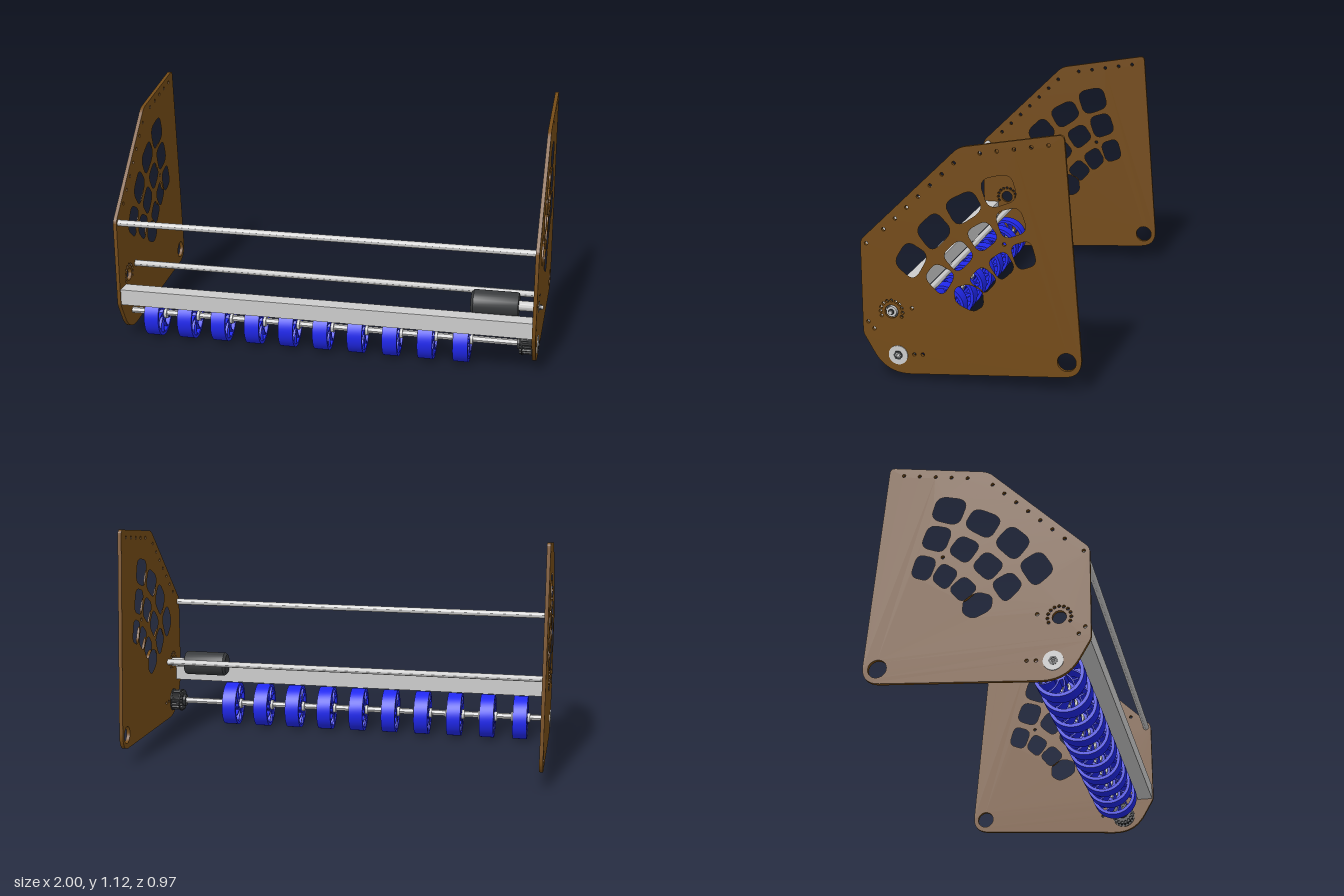
import * as THREE from 'three';
import { toCreasedNormals } from 'three/addons/utils/BufferGeometryUtils.js';

const paint = (color) => new THREE.MeshStandardMaterial({ color });
const BROWN = paint(0x734a16), BLUE = paint(0x2028ee), DARK = paint(0x383a3c), GREY = paint(0xcccccc);

const AXLE = [0.326, 0.111];   // z, y of the roller axle
const MOTOR = [0.353, 0.307];  // z, y of the motor shaft
const INNER_L = 0.963, INNER_R = -0.978, THICK = 0.017;

// Profiles are drawn in (z, y) and extruded along +x from x0.
function extrudeX(shape, x0, length, curveSegments = 12) {
  const g = new THREE.ExtrudeGeometry(shape, { depth: length, bevelEnabled: false, curveSegments });
  g.rotateY(Math.PI / 2);
  g.translate(x0, 0, 0);
  return toCreasedNormals(g, 0.6);
}

function circle(z, y, r, PathType = THREE.Path) {
  const p = new PathType();
  p.absarc(-z, y, r, 0, Math.PI * 2, false);
  return p;
}

// Closed outline whose corners are rounded; cut is a fraction of the edge or a length.
function rounded(points, cut, PathType = THREE.Path, grow = 1) {
  let v = points.map(([z, y]) => new THREE.Vector2(-z, y));
  const c = v.reduce((s, p) => s.add(p), new THREE.Vector2()).divideScalar(v.length);
  v = v.map((p) => p.clone().sub(c).multiplyScalar(grow).add(c));
  const path = new PathType();
  v.forEach((p, i) => {
    const toward = (q) => {
      const f = cut ?? points[i][2] / p.distanceTo(q);
      return p.clone().lerp(q, f);
    };
    const a = toward(v[(i + v.length - 1) % v.length]), b = toward(v[(i + 1) % v.length]);
    if (i === 0) path.moveTo(a.x, a.y); else path.lineTo(a.x, a.y);
    path.quadraticCurveTo(p.x, p.y, b.x, b.y);
  });
  path.closePath();
  return path;
}

function ring([z, y], R, r, x0, length, segments = 24) {
  const s = circle(z, y, R, THREE.Shape);
  if (r) s.holes.push(circle(z, y, r));
  return extrudeX(s, x0, length, segments);
}

function hexRing([z, y], R, r, x0, length) {
  const s = new THREE.Shape();
  for (let i = 0; i < 6; i++) {
    const a = i * Math.PI / 3;
    s[i ? 'lineTo' : 'moveTo'](-z + R * Math.cos(a), y + R * Math.sin(a));
  }
  s.closePath();
  if (r) s.holes.push(circle(z, y, r));
  return extrudeX(s, x0, length);
}

// Rounded windows of the side plates, corner by corner (z, y)
const WINDOWS = [
  [[-0.05, 0.914], [-0.173, 0.946], [-0.203, 0.845], [-0.087, 0.8]],
  [[0.105, 0.807], [-0.009, 0.869], [-0.054, 0.789], [0.051, 0.714]],
  [[0.233, 0.682], [0.149, 0.765], [0.078, 0.688], [0.164, 0.595]],
  [[0.332, 0.53], [0.275, 0.625], [0.185, 0.574], [0.248, 0.461]],
  [[-0.114, 0.777], [-0.212, 0.807], [-0.245, 0.711], [-0.149, 0.673]],
  [[0.012, 0.688], [-0.072, 0.741], [-0.123, 0.67], [-0.045, 0.604]],
  [[0.117, 0.58], [0.042, 0.652], [-0.018, 0.586], [0.054, 0.509]],
  [[0.197, 0.473], [0.149, 0.539], [0.066, 0.497], [0.123, 0.399]],
  [[-0.179, 0.637], [-0.26, 0.667], [-0.287, 0.571], [-0.212, 0.542]],
  [[-0.081, 0.565], [-0.152, 0.616], [-0.194, 0.545], [-0.134, 0.488]],
  [[0.003, 0.479], [-0.054, 0.542], [-0.117, 0.488], [-0.063, 0.423]],
  [[0.063, 0.434], [0.006, 0.455], [-0.05, 0.43], [-0.054, 0.37], [-0.012, 0.342], [0.06, 0.375]],
];

function plateShape() {
  // z, y, corner rounding
  const s = rounded([
    [0.486, 0.62, 0.02], [0.045, 1.05, 0.03], [-0.402, 1.127, 0.025], [-0.491, 0.083, 0.085],
    [0.38, 0.02, 0.11], [0.484, 0.2, 0.015],
  ], undefined, THREE.Shape);
  s.holes.push(...WINDOWS.map((w) => rounded(w, 0.36, THREE.Path, 1.1)));
  // screw holes along the sloped and top edges
  for (let i = 0; i < 7; i++) s.holes.push(circle(0.38 - i * 0.0525, 0.675 + i * 0.0512, 0.008));
  for (let i = 0; i < 5; i++) s.holes.push(circle(-0.048 - i * 0.0725, 1.03 + i * 0.0125, 0.008));
  [[0.46, 0.607], [0.26, 0.33], [0.46, 0.253], [0.433, 0.223], [0.254, 0.119], [0.215, 0.122], [-0.15, 0.646]]
    .forEach(([z, y]) => s.holes.push(circle(z, y, 0.008)));
  // pivot hole, axle hole, motor hole and its arc of mounting holes
  s.holes.push(circle(-0.421, 0.146, 0.041), circle(...AXLE, 0.016), circle(...MOTOR, 0.03));
  for (let i = 0; i < 11; i++) {
    const a = THREE.MathUtils.degToRad(-25 + i * 23);
    s.holes.push(circle(MOTOR[0] + 0.05 * Math.cos(a), MOTOR[1] + 0.05 * Math.sin(a), 0.007));
  }
  return s;
}

// Roller wheel: rim and hub joined by swept spokes
function wheelShape() {
  const s = circle(0, 0, 0.108, THREE.Shape), n = 10, step = Math.PI * 2 / n;
  for (let i = 0; i < n; i++) {
    const p = new THREE.Path(), a = i * step, pts = [];
    const at = (r, t, half) => {
      const ang = a + half + t * 0.45;
      pts.push(new THREE.Vector2(r * Math.cos(ang), r * Math.sin(ang)));
    };
    for (let k = 0; k <= 4; k++) {
      const r = 0.036 + 0.058 * k / 4;
      at(r, k / 4, -step / 2 + 0.0035 / r);
    }
    at(0.094, 1, 0);
    for (let k = 4; k >= 0; k--) {
      const r = 0.036 + 0.058 * k / 4;
      at(r, k / 4, step / 2 - 0.0035 / r);
    }
    p.setFromPoints(pts);
    s.holes.push(p);
  }
  s.holes.push(circle(0, 0, 0.015));
  return s;
}

// Toothed belt pulley
function pulleyShape() {
  const s = new THREE.Shape(), n = 18;
  for (let i = 0; i < n * 4; i++) {
    const a = i * Math.PI / (n * 2), r = i % 4 < 2 ? 0.052 : 0.045;
    s[i ? 'lineTo' : 'moveTo'](r * Math.cos(a), r * Math.sin(a));
  }
  s.closePath();
  s.holes.push(circle(0, 0, 0.014));
  return s;
}

export function createModel() {
  const model = new THREE.Group();
  const add = (name, geometry, material, parent = model) => {
    const m = new THREE.Mesh(geometry, material);
    m.name = name;
    parent.add(m);
    return m;
  };

  // Side plates
  const plate = plateShape();
  add('leftSidePlate', extrudeX(plate, INNER_L, THICK), BROWN);
  add('rightSidePlate', extrudeX(plate, INNER_R - THICK, THICK), BROWN);

  // Hollow cross rods and axle between the plates
  const span = INNER_L - INNER_R;
  add('upperRod', ring([0.46, 0.607], 0.015, 0.008, INNER_R, span), GREY);
  add('lowerRod', ring([0.26, 0.33], 0.015, 0.008, INNER_R, span), GREY);
  add('rollerAxle', hexRing(AXLE, 0.015, 0.007, -0.998, 1.985), GREY);

  // Square tube across the front
  const tube = new THREE.Shape();
  const box = (p, z0, z1, y0, y1) => p.moveTo(-z0, y0).lineTo(-z0, y1).lineTo(-z1, y1).lineTo(-z1, y0).closePath();
  box(tube, 0.402, 0.478, 0.2, 0.276);
  const bore = new THREE.Path();
  box(bore, 0.409, 0.471, 0.207, 0.269);
  tube.holes.push(bore);
  add('frontBeam', extrudeX(tube, INNER_R, span), GREY);

  // Washers and nuts at the axle ends
  [[INNER_L + THICK, 1], [INNER_R - THICK, -1]].forEach(([x, side]) => {
    add('axleWasher', ring(AXLE, 0.043, 0.014, side > 0 ? x : x - 0.004, 0.004), GREY);
    add('axleNut', hexRing(AXLE, 0.021, 0.011, side > 0 ? x + 0.004 : x - 0.005, 0.004), DARK);
  });

  // Row of roller wheels
  const wheelGeo = extrudeX(wheelShape(), -0.035, 0.07, 24);
  const hubGeo = ring([0, 0], 0.024, 0.014, -0.048, 0.096, 10);
  for (let i = 0; i < 10; i++) {
    const wheel = new THREE.Group();
    wheel.name = 'rollerWheel';
    wheel.position.set(-0.85 + i * 0.165, AXLE[1] - 0.003, AXLE[0]);
    add('wheelTread', wheelGeo, BLUE, wheel);
    add('wheelHub', hubGeo, GREY, wheel);
    model.add(wheel);
  }

  // Belt pulley on the axle, with flanges
  const pulley = new THREE.Group();
  pulley.name = 'drivenPulley';
  pulley.position.set(0, AXLE[1], AXLE[0]);
  add('pulleyTeeth', extrudeX(pulleyShape(), 0.9, 0.058), DARK, pulley);
  [0.91, 0.955].forEach((x) => add('pulleyFlange', ring([0, 0], 0.057, 0.014, x, 0.005), DARK, pulley));
  add('pulleyHub', ring([0, 0], 0.03, 0.014, 0.888, 0.012), DARK, pulley);
  model.add(pulley);

  // Motor: turned body with chamfered ends, then shaft through the left plate
  const body = new THREE.LatheGeometry([
    [0, 0.673], [0.05, 0.673], [0.06, 0.685], [0.06, 0.882], [0.056, 0.89], [0, 0.89],
  ].map(([r, x]) => new THREE.Vector2(r, x)), 32);
  body.rotateZ(-Math.PI / 2);
  body.translate(0, MOTOR[1], MOTOR[0]);
  add('motorBody', toCreasedNormals(body, 0.5), DARK);
  add('motorCollar', ring(MOTOR, 0.023, 0.012, 0.89, 0.092), GREY);
  add('motorShaft', ring(MOTOR, 0.0125, 0, 0.89, 0.102), DARK);
  add('motorShaftTip', ring(MOTOR, 0.009, 0, 0.99, 0.01), GREY);

  return model;
}
